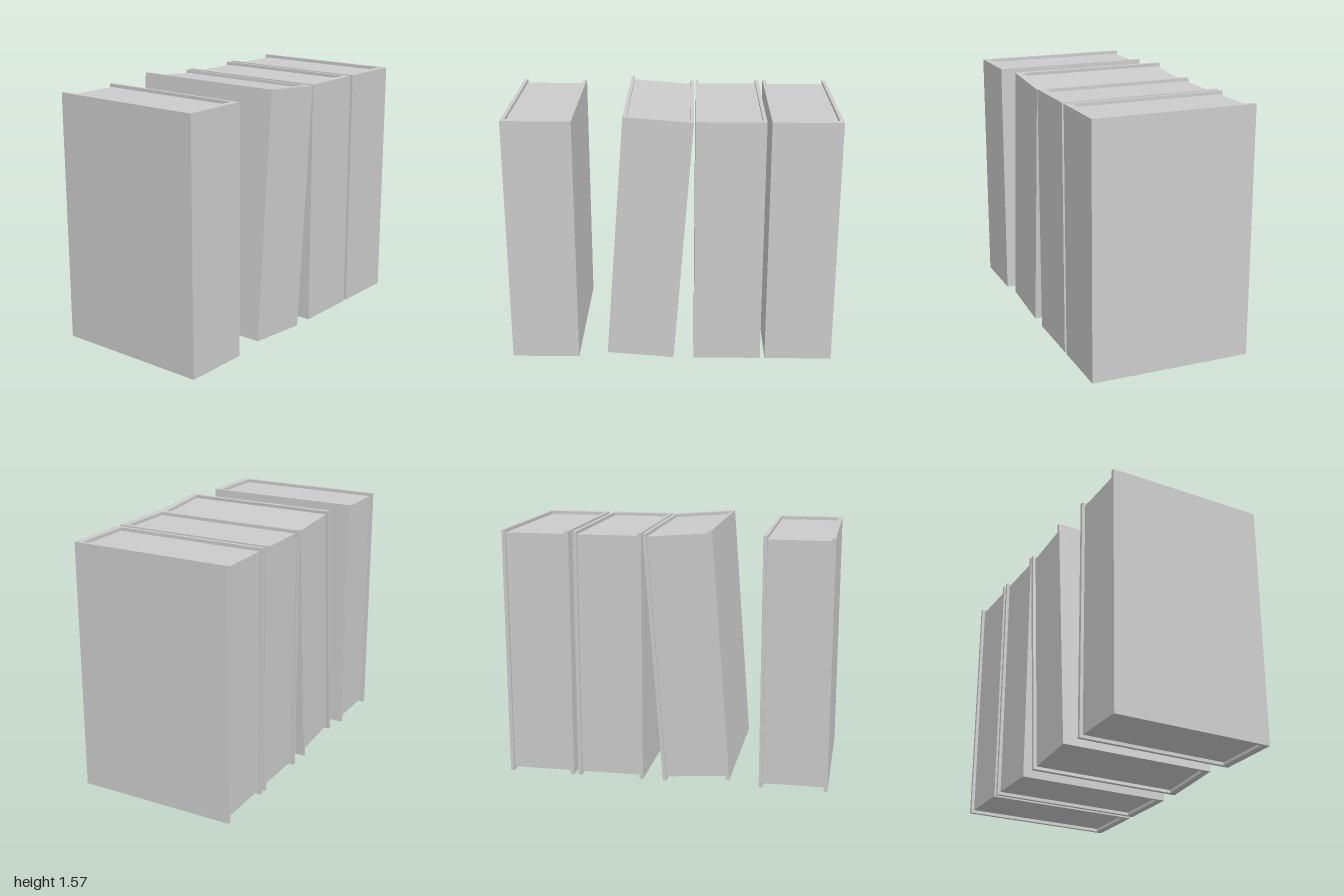
import * as THREE from 'three';

const W = 0.416, H = 1.54, D = 1; // book size
const BOARD = 0.022, SPINE = 0.045, INSET = 0.02;

const material = new THREE.MeshStandardMaterial({ color: 0xcccccc, flatShading: true });

// Book whose origin is its lower right corner (+x side), spine towards +z
function makeBook(name) {
  const book = new THREE.Group();
  book.name = name;

  // U-shaped cover outline, drawn with shape y = -z and extruded upwards
  const a = W / 2, b = a - BOARD, front = -D / 2, back = D / 2;
  const outline = new THREE.Shape([
    [-a, front], [a, front], [a, back], [b, back],
    [b, front + SPINE], [-b, front + SPINE], [-b, back], [-a, back],
  ].map(([x, y]) => new THREE.Vector2(x, y)));
  const coverGeometry = new THREE.ExtrudeGeometry(outline, { depth: H, bevelEnabled: false });
  coverGeometry.rotateX(-Math.PI / 2).translate(-a, 0, 0);
  const cover = new THREE.Mesh(coverGeometry, material);
  cover.name = 'cover';

  // Page block, set back from the cover at top, bottom and back
  const pageDepth = D - SPINE - INSET;
  const pages = new THREE.Mesh(
    new THREE.BoxGeometry(W - 2 * BOARD, H - 2 * INSET, pageDepth), material);
  pages.position.set(-a, H / 2, -D / 2 + INSET + pageDepth / 2);
  pages.name = 'pages';

  book.add(cover, pages);
  return book;
}

export function createModel() {
  const model = new THREE.Group();
  model.name = 'rowOfBooks';
  // [name, lower right corner x, lean]
  const layout = [
    ['separateBook', -1 + W, 0],
    ['leaningBook', 0.012, -0.077],
    ['innerBook', 0.555, 0],
    ['outerBook', 1, 0],
  ];
  for (const [name, x, lean] of layout) {
    const book = makeBook(name);
    book.position.x = x;
    book.rotation.z = lean;
    model.add(book);
  }
  return model;
}
